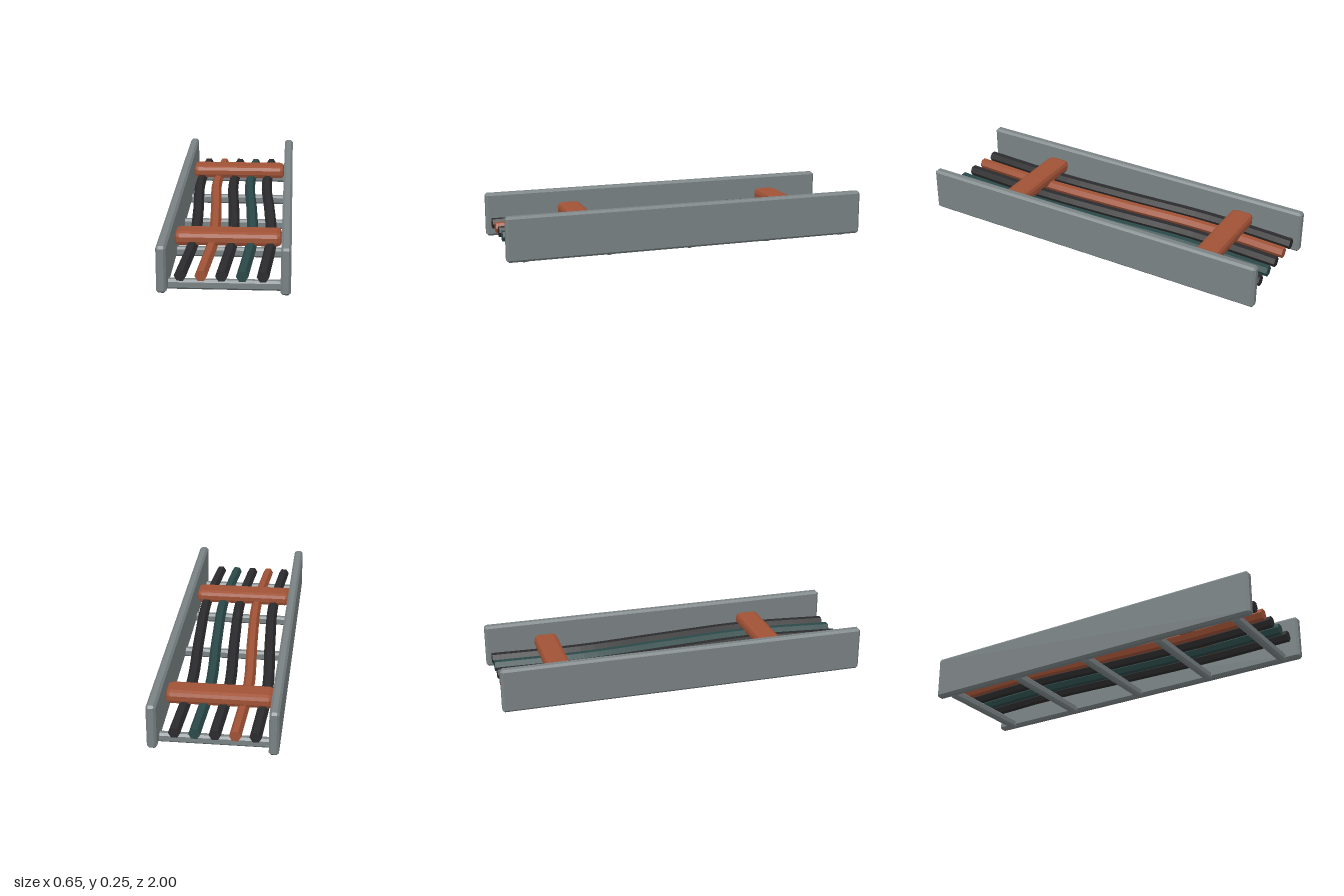
import * as THREE from 'three';
import { ConvexGeometry } from 'three/addons/geometries/ConvexGeometry.js';

const mat = (name, color) => {
  const m = new THREE.MeshStandardMaterial({ color, flatShading: true });
  m.name = name;
  return m;
};

// Box with bevelled edges: one step is a plain chamfer, two steps a rounder edge
function bevelBox(w, h, d, r, steps = 1) {
  const dirs = [[1, 0, 0], [0, 1, 0], [0, 0, 1]];
  if (steps > 1) dirs.push([1, 1, 0], [1, 0, 1], [0, 1, 1], [1, 1, 1]);
  const points = [];
  for (const sx of [-1, 1]) for (const sy of [-1, 1]) for (const sz of [-1, 1]) {
    for (const dir of dirs) {
      const p = new THREE.Vector3(...dir).setLength(r);
      p.add(new THREE.Vector3(w / 2 - r, h / 2 - r, d / 2 - r));
      points.push(p.multiply(new THREE.Vector3(sx, sy, sz)));
    }
  }
  return new ConvexGeometry(points);
}

// Six-sided rod whose cross-sections follow a gentle S-curve along z
function cableGeometry(length, radius) {
  const half = length / 2;
  const path = new THREE.CatmullRomCurve3([
    new THREE.Vector3(-0.01, 0.097, -half),
    new THREE.Vector3(-0.028, 0.099, -half / 2),
    new THREE.Vector3(0, 0.102, 0),
    new THREE.Vector3(0.019, 0.105, half / 2),
    new THREE.Vector3(-0.01, 0.097, half),
  ], false, 'catmullrom');
  const geo = new THREE.CylinderGeometry(radius, radius, length, 6, 24, false, Math.PI / 2);
  geo.rotateX(Math.PI / 2);
  const pos = geo.attributes.position;
  for (let i = 0; i < pos.count; i++) {
    const t = THREE.MathUtils.clamp((pos.getZ(i) + half) / length, 0, 1);
    const p = path.getPoint(t);
    pos.setXY(i, pos.getX(i) + p.x, pos.getY(i) + p.y);
  }
  geo.computeVertexNormals();
  return geo;
}

export function createModel() {
  const group = new THREE.Group();
  group.name = 'cableTray';
  const steel = mat('steel', 0x7a8284);
  const copper = mat('copper', 0xa05236);
  const black = mat('black', 0x2b2b2d);
  const teal = mat('teal', 0x2b4848);

  const add = (name, geo, material, x, y, z) => {
    const mesh = new THREE.Mesh(geo, material);
    mesh.name = name;
    mesh.position.set(x, y, z);
    group.add(mesh);
  };

  // Side rails
  const rail = bevelBox(0.05, 0.24, 2, 0.012);
  add('leftRail', rail, steel, 0.3, 0.13, 0);
  add('rightRail', rail, steel, -0.3, 0.13, 0);

  // Rungs
  const rung = bevelBox(0.6, 0.05, 0.042, 0.011);
  for (let i = -2; i <= 2; i++) add('rung', rung, steel, 0, 0.025, i * 0.45);

  // Cables
  const cable = cableGeometry(1.96, 0.03);
  [black, copper, black, teal, black].forEach((m, i) => add('cable', cable, m, (i - 2) * 0.1, 0, 0));

  // Clamps across the cables
  const clamp = bevelBox(0.55, 0.075, 0.13, 0.025, 2);
  for (const z of [-0.665, 0.535]) add('clamp', clamp, copper, 0, 0.1425, z);

  return group;
}
